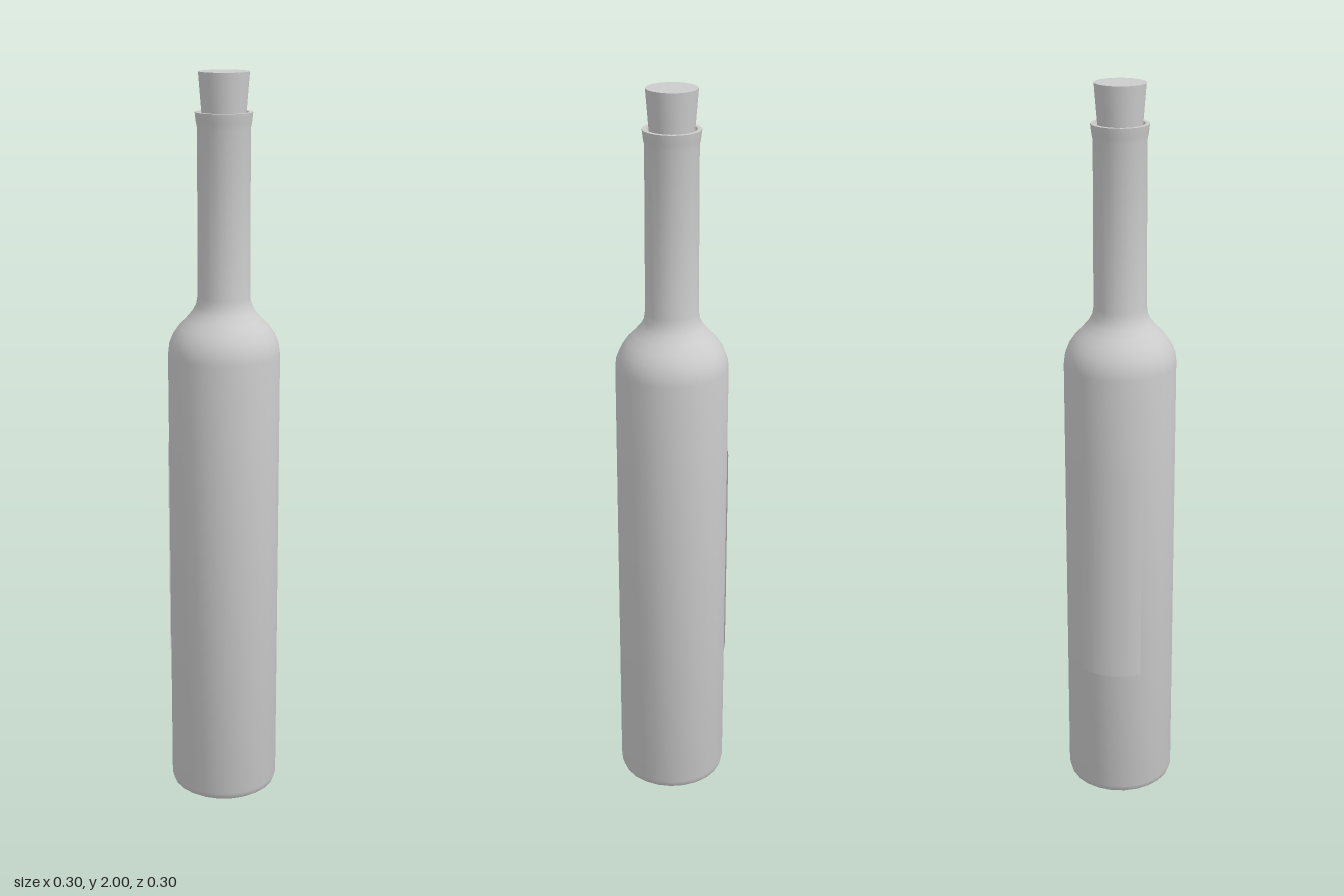
import * as THREE from 'three';
import { toCreasedNormals } from 'three/addons/utils/BufferGeometryUtils.js';

const SIDES = 24;
const material = new THREE.MeshStandardMaterial({ color: 0xcccccc });

// Revolve a [radius, height] profile, keeping hard rims sharp
function turned(name, profile) {
  const points = profile.map(([r, y]) => new THREE.Vector2(r, y));
  const geometry = toCreasedNormals(new THREE.LatheGeometry(points, SIDES), 0.7);
  const mesh = new THREE.Mesh(geometry, material);
  mesh.name = name;
  return mesh;
}

export function createModel() {
  const model = new THREE.Group();
  model.name = 'corkedBottle';

  // Glass: base, body, shoulder, neck, lip, then down inside the mouth
  model.add(turned('bottle', [
    [0, 0], [0.133, 0], [0.145, 0.008], [0.15, 0.025],
    [0.15, 1.27], [0.147, 1.295], [0.137, 1.32], [0.12, 1.345],
    [0.1, 1.365], [0.083, 1.385], [0.074, 1.402], [0.07, 1.425],
    [0.069, 1.86], [0.072, 1.875], [0.075, 1.9],
    [0.064, 1.9], [0.06, 1.885], [0.058, 1.8],
  ]));

  // Tapered stopper
  model.add(turned('cork', [
    [0, 1.81], [0.052, 1.81], [0.058, 1.9], [0.066, 2], [0, 2],
  ]));

  // Thin curved label on the back of the body
  const halfAngle = 0.56;
  const label = new THREE.Mesh(
    new THREE.CylinderGeometry(0.153, 0.153, 0.62, 8, 1, true, Math.PI - halfAngle, 2 * halfAngle),
    new THREE.MeshStandardMaterial({ color: 0xcccccc, side: THREE.DoubleSide })
  );
  label.name = 'label';
  label.position.y = 0.705;
  model.add(label);

  return model;
}
